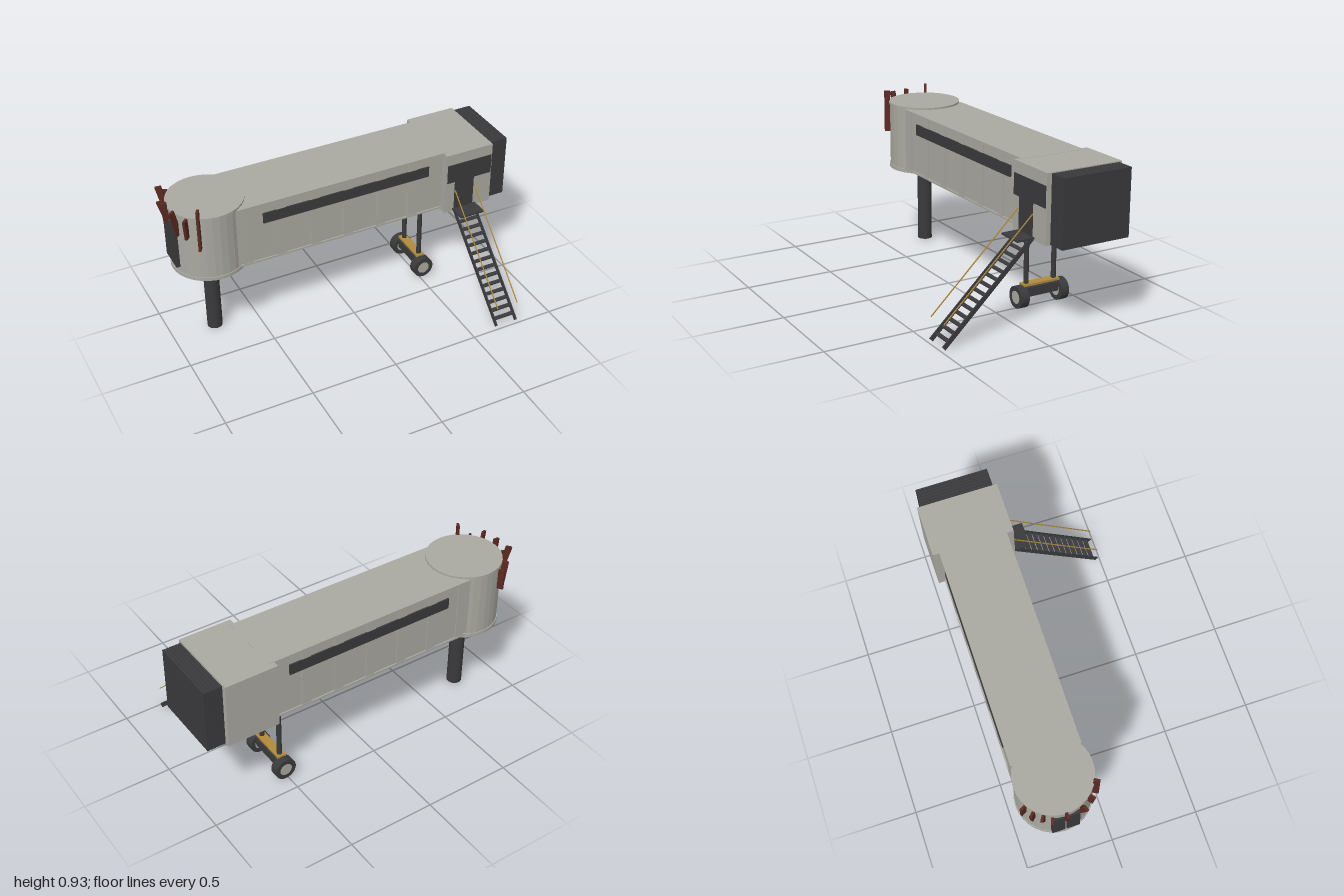
import * as THREE from 'three';

const mat = (name, color, flatShading = false) => {
  const m = new THREE.MeshStandardMaterial({ color, flatShading });
  m.name = name;
  return m;
};

export function createModel() {
  const root = new THREE.Group();
  root.name = 'boardingBridge';
  const panel = mat('panelGrey', 0xa9a8a0, true);
  const dark = mat('darkSteel', 0x3a3a3c);
  const rust = mat('rustBrown', 0x5a2a22);
  const amber = mat('amberPaint', 0xb08a3c);
  const CZ = -0.265; // centre line of the bridge

  const add = (name, geo, m, x = 0, y = 0, z = 0) => {
    const mesh = new THREE.Mesh(geo, m);
    mesh.name = name;
    mesh.position.set(x, y, z);
    root.add(mesh);
    return mesh;
  };
  // box given by its limits on each axis
  const box = (name, m, x0, x1, y0, y1, z0, z1) =>
    add(name, new THREE.BoxGeometry(x1 - x0, y1 - y0, z1 - z0), m,
      (x0 + x1) / 2, (y0 + y1) / 2, (z0 + z1) / 2);
  // beam between two points of the y-z plane
  const slope = (name, m, x, w, t, za, ya, zb, yb) => {
    const len = Math.hypot(zb - za, yb - ya);
    const b = add(name, new THREE.BoxGeometry(w, t, len), m, x, (ya + yb) / 2, (za + zb) / 2);
    b.rotation.x = -Math.atan2(yb - ya, zb - za);
  };

  // Rotunda and its column
  add('rotunda', new THREE.CylinderGeometry(0.206, 0.206, 0.375, 32), panel, -0.75, 0.677, CZ);
  add('rotundaRoof', new THREE.CylinderGeometry(0.211, 0.211, 0.015, 32), panel, -0.75, 0.871, CZ);
  add('rotundaFloor', new THREE.CylinderGeometry(0.211, 0.211, 0.02, 32), panel, -0.75, 0.487, CZ);
  add('column', new THREE.CylinderGeometry(0.043, 0.043, 0.47, 20), dark, -0.75, 0.245, CZ);

  // Door leaves at the terminal end
  for (const s of [-1, 1]) {
    const z = CZ + s * 0.04;
    box('doorLeaf', dark, -0.963, -0.935, 0.53, 0.8, z - 0.035, z + 0.035);
  }

  // Loose canopy slats around the rotunda: angle, bottom, top, lean
  const slats = [
    [60, 0.69, 0.935, 0], [42, 0.75, 0.87, 0.1], [24, 0.74, 0.905, 0.25], [0, 0.78, 0.905, 0.1],
    [-19, 0.76, 0.87, 0.3], [-31, 0.75, 0.93, 0.25], [-46, 0.73, 0.87, 0.1], [-61, 0.73, 0.85, 0],
  ];
  for (const [deg, y0, y1, lean] of slats) {
    const a = THREE.MathUtils.degToRad(deg), r = 0.222;
    const s = add('canopySlat', new THREE.BoxGeometry(0.034, y1 - y0, 0.014), rust,
      -0.75 - r * Math.cos(a), (y0 + y1) / 2, CZ + r * Math.sin(a));
    s.rotation.order = 'YXZ';
    s.rotation.set(0, a, lean);
  }

  // Tunnel with roof and floor edges
  box('tunnel', panel, -0.65, 0.62, 0.503, 0.862, CZ - 0.182, CZ + 0.182);
  box('tunnelRoof', panel, -0.64, 0.62, 0.856, 0.867, CZ - 0.19, CZ + 0.19);
  box('tunnelFloor', panel, -0.64, 0.62, 0.5, 0.511, CZ - 0.19, CZ + 0.19);
  for (const s of [-1, 1]) {
    const z = CZ + s * 0.184;
    for (let i = 0; i < 6; i++) {
      const x = 0.405 - i * 0.2;
      box('wallRib', panel, x - 0.028, x + 0.028, 0.511, 0.856, z - 0.004, z + 0.004);
    }
    const w = CZ + s * 0.188;
    box('windowStrip', dark, -0.5, 0.505, 0.742, 0.805, w - 0.004, w + 0.004);
  }

  // Cab, front door and window
  box('cab', panel, 0.595, 0.893, 0.49, 0.866, -0.491, -0.037);
  box('cabWindow', dark, 0.605, 0.887, 0.685, 0.8, -0.038, -0.032);
  box('cabDoor', dark, 0.655, 0.777, 0.5, 0.685, -0.038, -0.032);

  // Folded bellows
  box('bellowsCore', dark, 0.89, 0.99, 0.505, 0.853, CZ - 0.196, CZ + 0.196);
  for (let i = 0; i < 6; i++) {
    const x = 0.898 + i * 0.0175;
    box('bellowsFold', dark, x, x + 0.0145, 0.495, 0.863, CZ - 0.204, CZ + 0.204);
  }

  // Service stairs
  box('landing', dark, 0.645, 0.795, 0.496, 0.506, -0.04, 0.065);
  for (const x of [0.656, 0.784]) {
    slope('stringer', dark, x, 0.007, 0.025, 0.482, 0.012, -0.03, 0.5);
    slope('handrail', amber, x, 0.005, 0.005, 0.482, 0.137, -0.03, 0.628);
  }
  for (let i = 0; i < 14; i++) {
    const t = (i + 0.9) / 14.5;
    const y = 0.012 + t * 0.488, z = 0.482 - t * 0.512;
    box('tread', dark, 0.658, 0.782, y - 0.003, y + 0.003, z - 0.013, z + 0.013);
  }

  // Drive bogie
  for (const s of [-1, 1]) {
    add('leg', new THREE.CylinderGeometry(0.014, 0.014, 0.42, 14), dark, 0.517, 0.295, CZ + s * 0.088);
    const wheel = add('wheel', new THREE.CylinderGeometry(0.062, 0.062, 0.05, 24), dark, 0.517, 0.073, CZ + s * 0.127);
    wheel.rotation.x = Math.PI / 2;
    const hub = add('hub', new THREE.CylinderGeometry(0.036, 0.036, 0.052, 20), panel, 0.517, 0.073, CZ + s * 0.127);
    hub.rotation.x = Math.PI / 2;
  }
  box('axleBeam', dark, 0.487, 0.547, 0.073, 0.124, CZ - 0.11, CZ + 0.11);
  box('bogiePlate', amber, 0.492, 0.542, 0.131, 0.143, CZ - 0.113, CZ + 0.113);

  return root;
}
